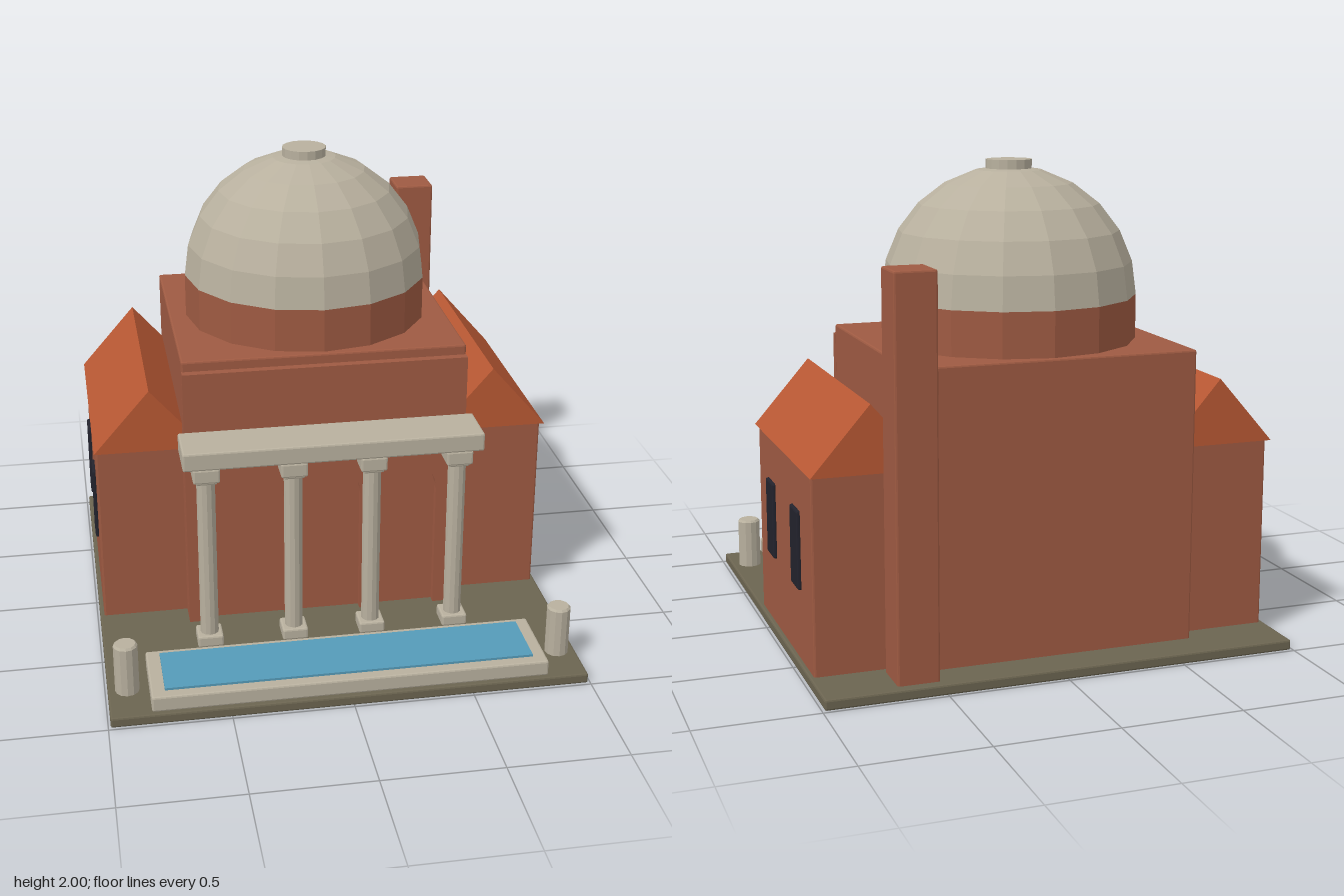
import * as THREE from 'three';
import { RoundedBoxGeometry } from 'three/addons/geometries/RoundedBoxGeometry.js';

export function createModel() {
  const model = new THREE.Group();
  model.name = 'domedHall';

  const mat = (name, color, flat = true) => {
    const m = new THREE.MeshStandardMaterial({ color, flatShading: flat });
    m.name = name;
    return m;
  };
  const brick = mat('brick', 0x9e5a42);
  const tile = mat('roofTile', 0xb85833);
  const stone = mat('stone', 0xb8b09e);
  const ground = mat('ground', 0x6b6450);
  const water = mat('water', 0x559bb8);
  const glass = mat('darkGlass', 0x22222c);

  const add = (name, geometry, material, x = 0, y = 0, z = 0, parent = model) => {
    const mesh = new THREE.Mesh(geometry, material);
    mesh.name = name;
    mesh.position.set(x, y, z);
    parent.add(mesh);
    return mesh;
  };
  // Softly bevelled block given by its limits on each axis
  const block = (name, material, [x0, x1], [y0, y1], [z0, z1], parent = model, bevel = 0.008) =>
    add(name, new RoundedBoxGeometry(x1 - x0, y1 - y0, z1 - z0, 1, bevel), material,
      (x0 + x1) / 2, (y0 + y1) / 2, (z0 + z1) / 2, parent);
  const cylinder = (name, material, r, y0, y1, sides, x, z, parent = model) =>
    add(name, new THREE.CylinderGeometry(r, r, y1 - y0, sides), material, x, (y0 + y1) / 2, z, parent);

  // Ground slab and main hall
  block('groundSlab', ground, [-0.99, 0.99], [0, 0.044], [-0.99, 0.99]);
  block('mainHall', brick, [-0.605, 0.605], [0.035, 1.26], [-0.83, 0.272]);

  // Front wall with three open arches
  const r = 0.15, spring = 0.61, floor = 0.044;
  const wall = new THREE.Shape();
  wall.moveTo(-0.605, floor);
  for (const cx of [-0.333, 0, 0.333]) {
    wall.lineTo(cx - r, floor);
    wall.lineTo(cx - r, spring);
    wall.absarc(cx, spring, r, Math.PI, 0, true);
    wall.lineTo(cx + r, floor);
  }
  wall.lineTo(0.605, floor);
  wall.lineTo(0.605, 1.217);
  wall.lineTo(-0.605, 1.217);
  wall.closePath();
  add('archedFrontWall', new THREE.ExtrudeGeometry(wall, { depth: 0.04, bevelEnabled: false, curveSegments: 10 }),
    brick, 0, 0, 0.267);

  // Drum, dome and cap
  const domeZ = -0.28;
  cylinder('drum', brick, 0.53, 1.25, 1.445, 16, 0, domeZ);
  const profile = [];
  for (let i = 0; i <= 6; i++) {
    const a = (i / 6) * Math.PI / 2;
    profile.push(new THREE.Vector2(i === 6 ? 0 : 0.53 * Math.cos(a), 1.445 + 0.53 * Math.sin(a)));
  }
  add('dome', new THREE.LatheGeometry(profile, 16), stone, 0, 0, domeZ);
  cylinder('domeCap', stone, 0.095, 1.95, 2, 16, 0, domeZ);

  // Side wings with gabled roofs and windows
  const gable = new THREE.Shape([
    new THREE.Vector2(-0.24, 0), new THREE.Vector2(0.24, 0), new THREE.Vector2(0, 0.275),
  ]);
  const roofGeometry = new THREE.ExtrudeGeometry(gable, { depth: 1.01, bevelEnabled: false });
  for (const [label, s] of [['left', 1], ['right', -1]]) {
    const wing = new THREE.Group();
    wing.name = label + 'Wing';
    model.add(wing);
    const span = (a, b) => (s > 0 ? [a, b] : [-b, -a]);
    block('wingWall', brick, span(0.5, 0.972), [0.035, 0.852], [-0.75, 0.19], wing);
    add('wingRoof', roofGeometry, tile, s * 0.74, 0.848, -0.78, wing);
    for (const z of [-0.053, -0.495])
      block('window', glass, span(0.965, 0.986), [0.34, 0.665], [z - 0.065, z + 0.065], wing);
  }

  // Chimney tower at the back
  block('chimney', brick, [0.52, 0.692], [0.035, 1.648], [-0.948, -0.775]);

  // Portico
  const portico = new THREE.Group();
  portico.name = 'portico';
  model.add(portico);
  block('entablature', stone, [-0.632, 0.632], [0.882, 0.962], [0.312, 0.53], portico);
  for (const x of [-0.535, -0.17, 0.165, 0.53]) {
    const column = new THREE.Group();
    column.name = 'column';
    column.position.set(x, 0, 0.47);
    portico.add(column);
    const square = (name, h, y0, y1) => block(name, stone, [-h, h], [y0, y1], [-h, h], column);
    square('columnBase', 0.055, 0.044, 0.095);
    cylinder('shaft', stone, 0.039, 0.09, 0.82, 12, 0, 0, column);
    square('capitalNeck', 0.045, 0.808, 0.85);
    square('capital', 0.056, 0.82, 0.884);
  }

  // Pool and bollards
  block('poolRim', stone, [-0.822, 0.822], [0.044, 0.112], [0.622, 0.972]);
  add('poolWater', new THREE.BoxGeometry(1.53, 0.016, 0.266), water, 0, 0.114, 0.792);
  for (const x of [-0.91, 0.91]) {
    const post = new THREE.LatheGeometry(
      [[0, 0.044], [0.05, 0.044], [0.05, 0.256], [0.042, 0.265], [0, 0.265]].map(p => new THREE.Vector2(...p)), 12);
    add('bollard', post, stone, x, 0, 0.79);
  }
  return model;
}
